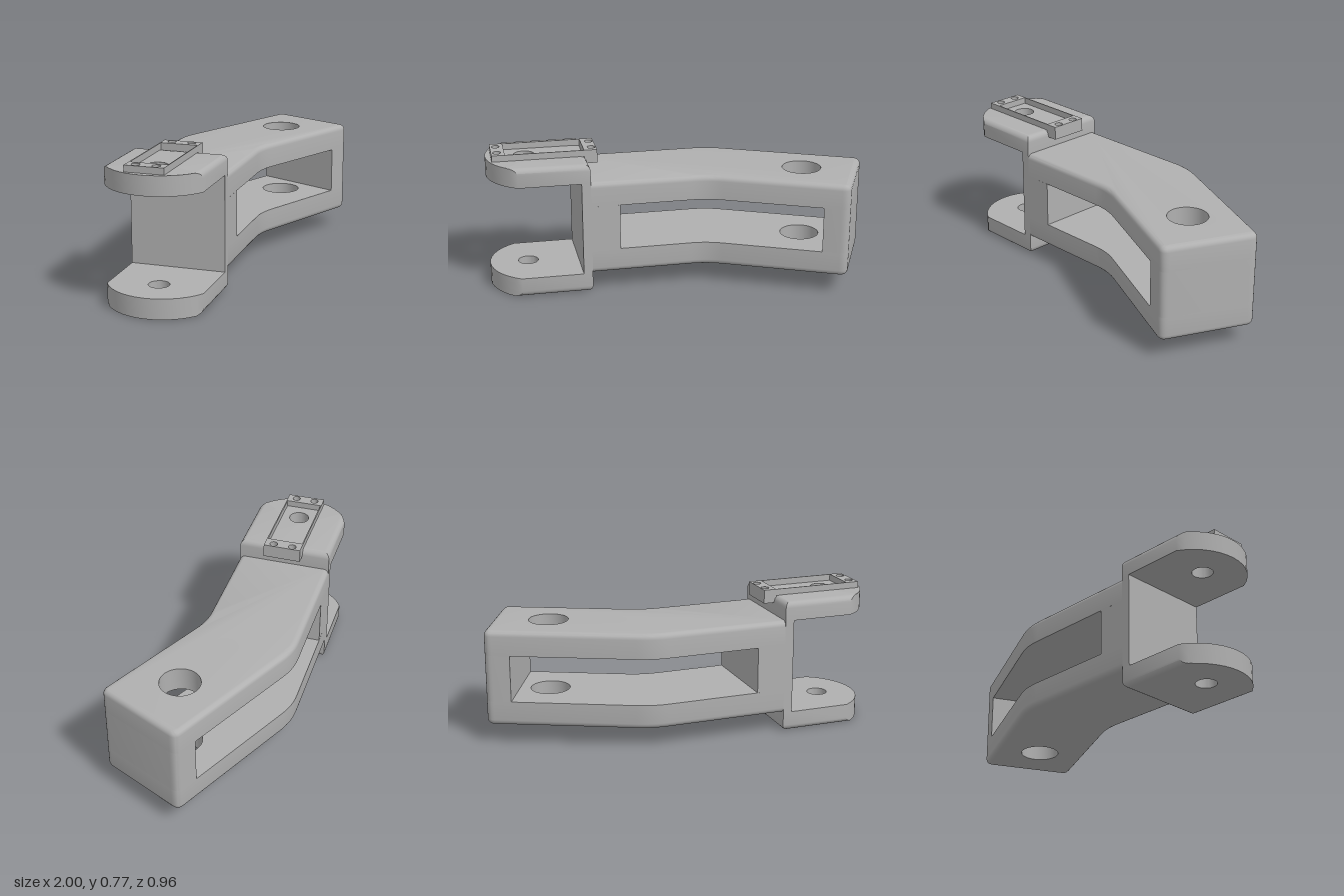
import * as THREE from 'three';
import { mergeVertices, toCreasedNormals } from 'three/addons/utils/BufferGeometryUtils.js';

const metal = new THREE.MeshStandardMaterial({ color: 0xb0b0b0 });
metal.name = 'grey metal';

// Angled half of the arm: p runs towards the fork tip, q across it, origin at the fork hole
const ANGLE = THREE.MathUtils.degToRad(25);
const C = Math.cos(ANGLE), S = Math.sin(ANGLE);
const PIN = [-0.78, 0.217];
const HALF = 0.2625;   // half width of the arm
const SEAM = -0.332;   // where the fork steps out of the arm
const local = (p, q) => [PIN[0] - p * C + q * S, PIN[1] + p * S + q * C];

// Turns [point, cut, bevelWeight] corners into a plan outline with softened corners
function outline(corners) {
  const pts = [], n = corners.length;
  corners.forEach(([v, cut, w = 1], i) => {
    if (!cut) { pts.push({ v: new THREE.Vector2(...v), w }); return; }
    const V = new THREE.Vector2(...v);
    const towards = (o) => new THREE.Vector2(...o).sub(V).setLength(cut).add(V);
    const a = towards(corners[(i + n - 1) % n][0]), b = towards(corners[(i + 1) % n][0]);
    new THREE.QuadraticBezierCurve(a, V, b).getPoints(6).forEach((q) => pts.push({ v: q, w }));
  });
  return pts;
}

// Moves every edge inwards by its weight times d
function inset(pts, d) {
  const n = pts.length;
  const normal = (i) => {
    const e = pts[(i + 1) % n].v.clone().sub(pts[i].v).normalize();
    return new THREE.Vector2(e.y, -e.x);
  };
  return pts.map(({ v, w }, i) => {
    const j = (i + n - 1) % n, a = normal(j), b = normal(i);
    const da = -d * pts[j].w, db = -d * w, det = a.x * b.y - a.y * b.x;
    if (Math.abs(det) < 1e-4) return v.clone().addScaledVector(b, db);
    return new THREE.Vector2(v.x + (da * b.y - db * a.y) / det, v.y + (a.x * db - b.x * da) / det);
  });
}

// Round hole, wound against the outline
function hole([x, z], r, segs = 40) {
  return Array.from({ length: segs }, (_, i) => {
    const t = -i / segs * Math.PI * 2;
    return new THREE.Vector2(x + r * Math.cos(t), z + r * Math.sin(t));
  });
}

// Upright plate from a plan outline, with optional rounded lower and upper edges
function plate(name, pts, y0, y1, { low = 0, high = 0, holes = [] } = {}) {
  const pos = [];
  const put = (v, y) => pos.push(v.x, y, v.y);
  const wall = (ra, ya, rb, yb) => ra.forEach((_, i) => {
    const j = (i + 1) % ra.length;
    put(ra[i], ya); put(rb[i], yb); put(rb[j], yb);
    put(ra[i], ya); put(rb[j], yb); put(ra[j], ya);
  });
  const cap = (ring, y, up) => {
    const all = [ring, ...holes].flat();
    THREE.ShapeUtils.triangulateShape(ring.slice(), holes.map((h) => h.slice())).forEach(([a, b, c]) => {
      const A = all[a], B = all[b], D = all[c];
      const ccw = (B.x - A.x) * (D.y - A.y) - (B.y - A.y) * (D.x - A.x) > 0;
      (ccw === up ? [A, D, B] : [A, B, D]).forEach((v) => put(v, y));
    });
  };
  const levels = [];
  const steps = 5;
  const bend = (k) => k / steps * Math.PI / 2;
  if (low) for (let k = 0; k <= steps; k++) levels.push([y0 + low * (1 - Math.cos(bend(k))), low * (1 - Math.sin(bend(k)))]);
  else levels.push([y0, 0]);
  if (high) for (let k = steps; k >= 0; k--) levels.push([y1 - high * (1 - Math.cos(bend(k))), high * (1 - Math.sin(bend(k)))]);
  else levels.push([y1, 0]);
  const rings = levels.map(([, d]) => inset(pts, d));
  for (let i = 1; i < rings.length; i++) wall(rings[i - 1], levels[i - 1][0], rings[i], levels[i][0]);
  cap(rings[0], y0, false);
  cap(rings[rings.length - 1], y1, true);
  holes.forEach((h) => wall(h, y0, h, y1));
  const geo = new THREE.BufferGeometry();
  geo.setAttribute('position', new THREE.Float32BufferAttribute(pos, 3));
  const mesh = new THREE.Mesh(toCreasedNormals(mergeVertices(geo, 1e-5), 0.6), metal);
  mesh.name = name;
  return mesh;
}

// Rectangle in the angled frame
const block = (p0, p1, half) => outline([
  [local(p0, half)], [local(p1, half)], [local(p1, -half)], [local(p0, -half)],
]);

export function createModel() {
  const model = new THREE.Group();
  model.name = 'forkedArm';
  const back = -0.4845, front = 0.0405;

  // Bent arm: lower and upper plates either side of the long window
  const arm = outline([
    [[1, back], 0.045], [[1, front], 0.045], [[0.214, front], 0.09],
    [local(SEAM, HALF), 0, 0], [local(SEAM, -HALF), 0], [[0.098, back], 0.09],
  ]);
  const armHole = [hole([0.695, -0.225], 0.108)];
  model.add(plate('armLowerPlate', arm, 0.11, 0.245, { low: 0.03, holes: armHole }));
  model.add(plate('armUpperPlate', arm, 0.5, 0.635, { high: 0.03, holes: armHole }));

  // Solid ends of the window
  const endPost = outline([[[1, back], 0.045], [[1, front], 0.045], [[0.86, front]], [[0.86, back]]]);
  model.add(plate('armEndPost', endPost, 0.245, 0.5));
  model.add(plate('armInnerPost', block(-0.49, SEAM, HALF), 0.245, 0.5));

  // Fork: spine and two round-tipped prongs
  model.add(plate('forkSpine', block(SEAM, -0.282, HALF), 0.11, 0.635));
  const tipStart = 0.059, centre = -0.086, radius = Math.hypot(HALF, tipStart - centre);
  const sweep = Math.atan2(HALF, tipStart - centre), arcSteps = 14;
  const prongCorners = [[local(SEAM, HALF)]];
  for (let i = 0; i <= arcSteps; i++) {
    const t = sweep * (1 - 2 * i / arcSteps);
    prongCorners.push([local(centre + radius * Math.cos(t), radius * Math.sin(t)), 0, i < arcSteps ? 0 : 1]);
  }
  prongCorners.push([local(SEAM, -HALF)]);
  const prong = outline(prongCorners);
  const pinHole = [hole(PIN, 0.056)];
  model.add(plate('lowerProng', prong, 0, 0.11, { low: 0.035, holes: pinHole }));
  model.add(plate('upperProng', prong, 0.635, 0.74, { high: 0.035, holes: pinHole }));

  // Small frame on the upper prong: drilled end blocks joined by thin walls
  const bracket = new THREE.Group();
  bracket.name = 'topBracket';
  const screwHoles = (p) => [-0.054, 0.054].map((q) => hole(local(p, q), 0.022, 20));
  bracket.add(plate('bracketTipBlock', block(0.11, 0.182, 0.106), 0.738, 0.775, { holes: screwHoles(0.15) }));
  bracket.add(plate('bracketSeamBlock', block(-0.392, -0.32, 0.106), 0.7, 0.775, { holes: screwHoles(-0.366) }));
  for (const side of [-1, 1]) {
    const q0 = side * 0.103, t = 0.003;
    const strip = outline([
      [local(-0.32, q0 + t)], [local(0.11, q0 + t)], [local(0.11, q0 - t)], [local(-0.32, q0 - t)],
    ]);
    bracket.add(plate(side > 0 ? 'bracketFrontWall' : 'bracketBackWall', strip, 0.738, 0.775));
  }
  model.add(bracket);
  return model;
}
